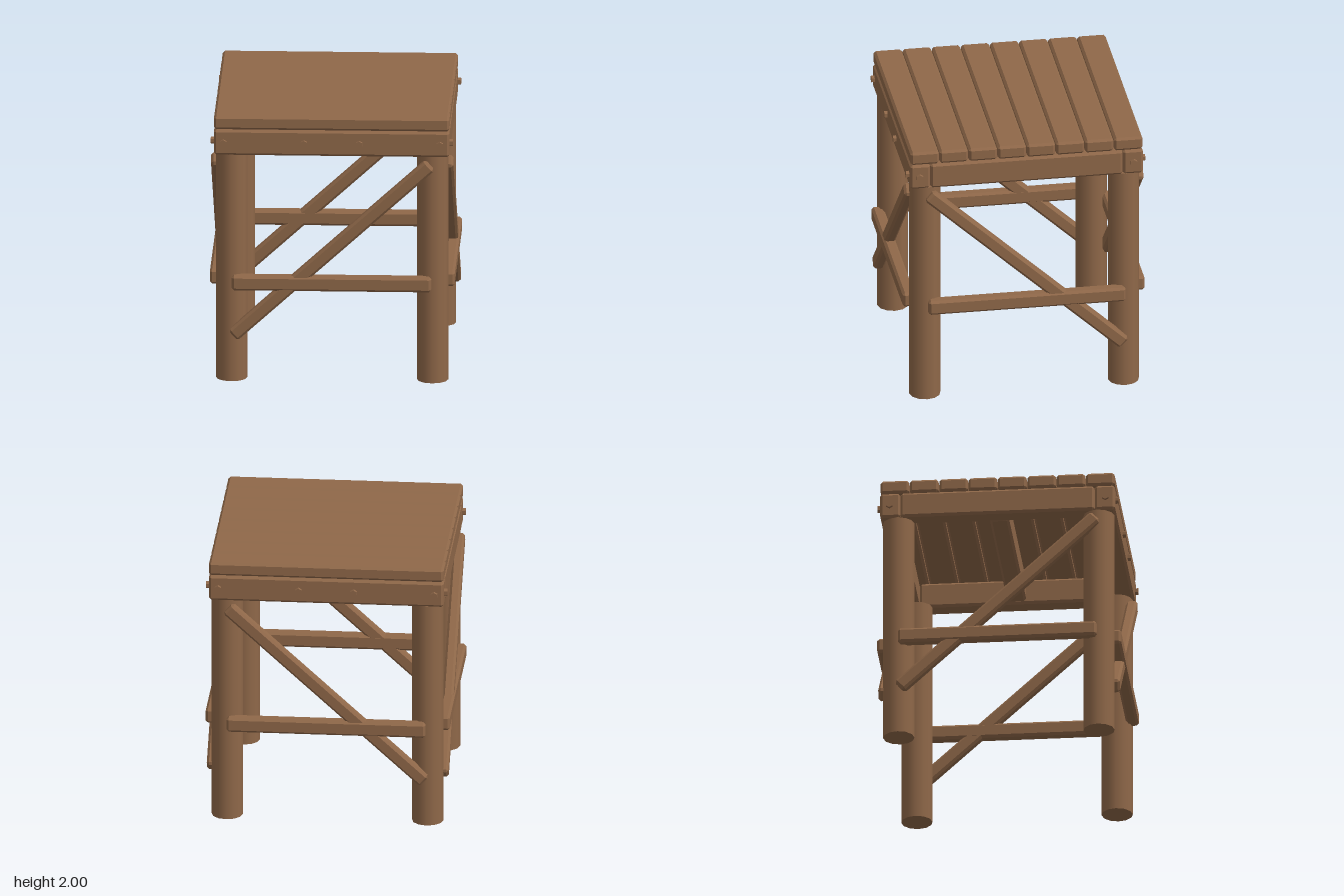
import * as THREE from 'three';
import { ConvexGeometry } from 'three/addons/geometries/ConvexGeometry.js';

// Box with every edge and corner chamfered by c
function chamferBox(w, h, d, c) {
  const points = [];
  for (const x of [-1, 1]) for (const y of [-1, 1]) for (const z of [-1, 1]) {
    const [X, Y, Z] = [w / 2, h / 2, d / 2];
    points.push(
      new THREE.Vector3(x * X, y * (Y - c), z * (Z - c)),
      new THREE.Vector3(x * (X - c), y * Y, z * (Z - c)),
      new THREE.Vector3(x * (X - c), y * (Y - c), z * Z));
  }
  return new ConvexGeometry(points);
}

export function createModel() {
  const model = new THREE.Group();
  model.name = 'woodenTable';
  const wood = new THREE.MeshStandardMaterial({ name: 'brown wood', color: 0x8f6849 });

  function add(name, geometry, x, y, z, parent = model) {
    const mesh = new THREE.Mesh(geometry, wood);
    mesh.name = name;
    mesh.position.set(x, y, z);
    parent.add(mesh);
    return mesh;
  }

  // Table top: eight planks running across x
  const plankCount = 8, pitch = 0.2133;
  const plank = chamferBox(1.705, 0.1, 0.208, 0.017);
  for (let i = 0; i < plankCount; i++) {
    add('topPlank', plank, 0, 1.95, (i - (plankCount - 1) / 2) * pitch);
  }

  // Frame under the top, with one beam across the middle
  const longRail = chamferBox(1.705, 0.19, 0.147, 0.017);
  const sideRail = chamferBox(0.147, 0.19, 1.41, 0.017);
  for (const s of [-1, 1]) {
    add('endRail', longRail, 0, 1.803, s * 0.78);
    add('sideRail', sideRail, s * 0.78, 1.803, 0);
  }
  add('middleBeam', chamferBox(1.41, 0.18, 0.14, 0.017), 0, 1.808, 0);

  // Round legs
  const leg = new THREE.CylinderGeometry(0.114, 0.114, 1.71, 12);
  for (const x of [-0.728, 0.728]) for (const z of [-0.728, 0.728]) {
    add('leg', leg, x, 0.855, z);
  }

  // Hexagonal bolt heads, axis along z
  const bolt = new THREE.CylinderGeometry(0.027, 0.027, 0.05, 6).toNonIndexed();
  bolt.rotateX(Math.PI / 2);
  bolt.computeVertexNormals();

  // Stretcher and diagonal brace for each side
  const stretcher = chamferBox(1.445, 0.11, 0.09, 0.017);
  const brace = chamferBox(1.93, 0.1, 0.08, 0.017);
  const slope = Math.atan2(1.3, 1.43);
  const sides = [
    { name: 'front', turn: 0, rise: 1, bolts: [-0.785, -0.2, 0.2, 0.785] },
    { name: 'right', turn: Math.PI / 2, rise: -1, bolts: [-0.785, 0.785] },
    { name: 'back', turn: Math.PI, rise: -1, bolts: [-0.785, -0.2, 0.2, 0.785] },
    { name: 'left', turn: -Math.PI / 2, rise: 1, bolts: [-0.785, 0.785] },
  ];
  for (const { name, turn, rise, bolts } of sides) {
    const side = new THREE.Group();
    side.name = name + 'Bracing';
    side.rotation.y = turn;
    add('stretcher', stretcher, 0, 0.75, 0.842, side);
    add('diagonalBrace', brace, 0, 1, 0.838, side).rotation.z = rise * slope;
    for (const x of bolts) add('bolt', bolt, x, 1.803, 0.852, side);
    model.add(side);
  }
  return model;
}
